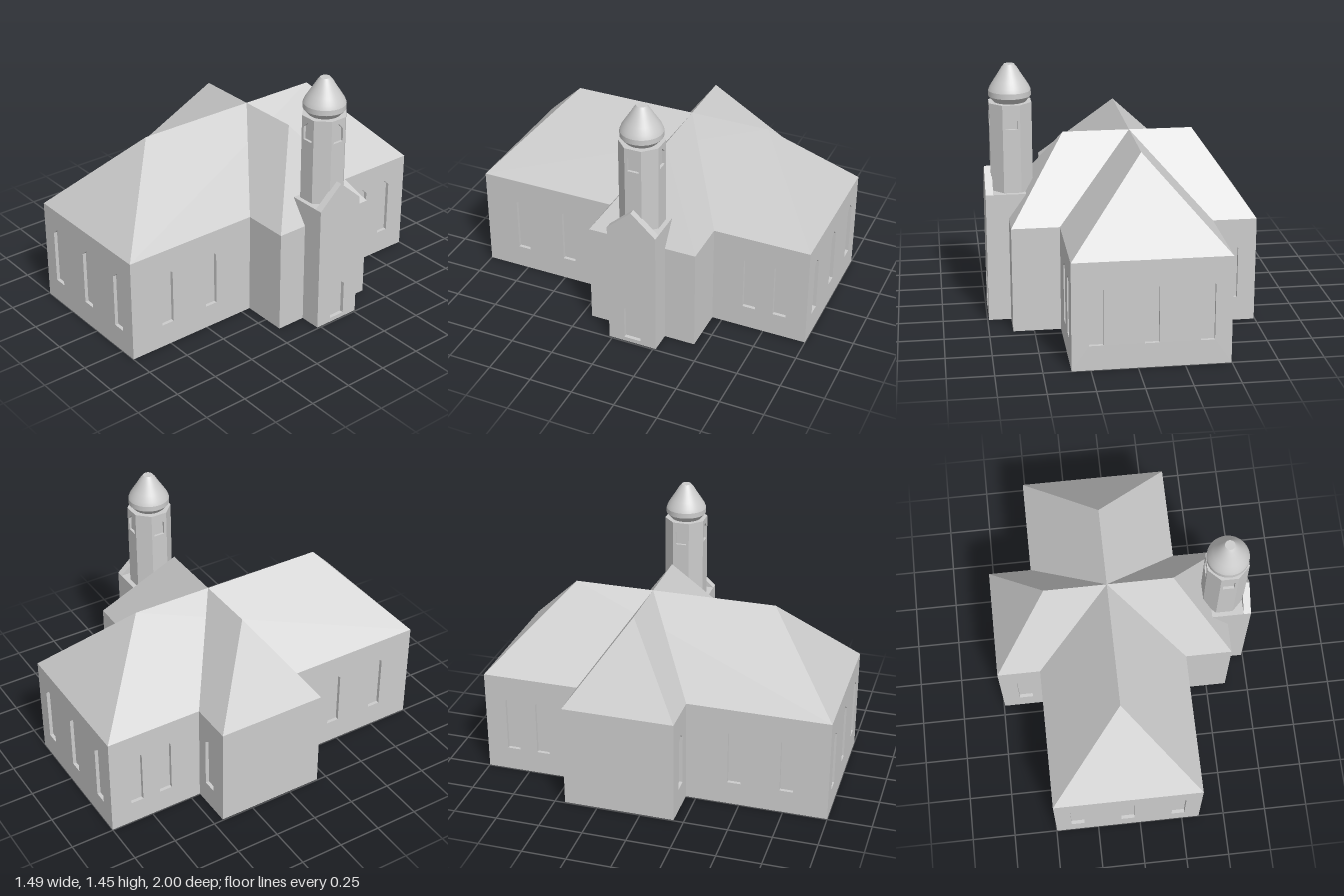
import * as THREE from 'three';
import { ConvexGeometry } from 'three/addons/geometries/ConvexGeometry.js';

const stone = new THREE.MeshStandardMaterial({ color: 0xcccccc });
stone.name = 'stone';

const EAVE = 0.6, RIDGE = 1.05, RECESS = 0.02;
const CX = -0.073, CZ = -0.125; // where the two ridges cross

export function createModel() {
  const model = new THREE.Group();

  function add(parent, name, geometry, x = 0, y = 0, z = 0, turn = 0) {
    const mesh = new THREE.Mesh(geometry, stone);
    mesh.name = name;
    mesh.position.set(x, y, z);
    mesh.rotation.y = turn;
    parent.add(mesh);
    return mesh;
  }

  function group(name) {
    const g = new THREE.Group();
    g.name = name;
    model.add(g);
    return g;
  }

  function box(parent, name, x0, x1, y0, y1, z0, z1) {
    add(parent, name, new THREE.BoxGeometry(x1 - x0, y1 - y0, z1 - z0),
      (x0 + x1) / 2, (y0 + y1) / 2, (z0 + z1) / 2);
  }

  // House-shaped outline, used for openings and for the porch gable
  function pointed(Type, u, width, bottom, shoulder, peak) {
    const w = width / 2;
    return new Type([[u - w, bottom], [u + w, bottom], [u + w, shoulder], [u, peak], [u - w, shoulder]]
      .map(([a, b]) => new THREE.Vector2(a, b)));
  }

  // Panel with its outer face at local z = 0, pierced by openings
  function panel(shape, openings, depth = RECESS) {
    shape.holes.push(...openings);
    const g = new THREE.ExtrudeGeometry(shape, { depth, bevelEnabled: false });
    return g.translate(0, 0, -depth);
  }

  function rectangle(width, y0, y1) {
    const w = width / 2;
    return new THREE.Shape([[-w, y0], [w, y0], [w, y1], [-w, y1]].map(([a, b]) => new THREE.Vector2(a, b)));
  }

  const tallWindow = (u) => pointed(THREE.Path, u, 0.076, 0.137, 0.448, 0.482);
  const wingWindow = (u) => pointed(THREE.Path, u, 0.08, 0.137, 0.43, 0.462);

  // Four walls around a solid core; window positions are in world coordinates
  function hall(name, x0, x1, z0, z1, makeWindow, endWindows, sideWindows) {
    const g = group(name);
    const xc = (x0 + x1) / 2, zc = (z0 + z1) / 2;
    const r = RECESS;
    box(g, name + 'Core', x0 + r, x1 - r, 0, EAVE, z0 + r, z1 - r);
    for (const s of [1, -1]) {
      add(g, s > 0 ? 'frontWall' : 'backWall',
        panel(rectangle(x1 - x0, 0, EAVE), endWindows.map((x) => makeWindow(s * (x - xc)))),
        xc, 0, s > 0 ? z1 : z0, s > 0 ? 0 : Math.PI);
      add(g, s > 0 ? 'leftWall' : 'rightWall',
        panel(rectangle(z1 - z0 - 2 * r, 0, EAVE), sideWindows.map((z) => makeWindow(-s * (z - zc)))),
        s > 0 ? x1 : x0, 0, zc, s * Math.PI / 2);
    }
    return g;
  }

  function hipRoof(parent, name, x0, x1, z0, z1, ridgeA, ridgeB) {
    const corners = [[x0, z0], [x1, z0], [x1, z1], [x0, z1]].map(([x, z]) => new THREE.Vector3(x, EAVE, z));
    const ridge = [ridgeA, ridgeB].map(([x, z]) => new THREE.Vector3(x, RIDGE, z));
    add(parent, name, new ConvexGeometry([...corners, ...ridge]));
  }

  // Nave
  const nave = hall('nave', -0.497, 0.351, -1, 1, tallWindow, [-0.368, CX, 0.222], [0.765, 0.468, -0.66, -0.84]);
  hipRoof(nave, 'naveRoof', -0.497, 0.351, -1, 1, [CX, -0.58], [CX, 0.58]);

  // Transept
  const transept = hall('transept', -0.744, 0.617, -0.442, 0.192, wingWindow, [-0.604], []);
  hipRoof(transept, 'transeptRoof', -0.744, 0.617, -0.442, 0.192, [-0.427, CZ], [0.3, CZ]);

  // Tower porch with gabled door wall
  const TX = 0.59, TZ = -0.122;
  const porch = group('towerPorch');
  box(porch, 'porchBody', 0.5, 0.7, 0, 0.74, TZ - 0.142, TZ + 0.142);
  const gable = () => pointed(THREE.Shape, 0, 0.284, 0, 0.74, 0.868);
  add(porch, 'gableBacking', panel(gable(), []), 0.72, 0, TZ, Math.PI / 2);
  add(porch, 'doorWall', panel(gable(), [pointed(THREE.Path, 0, 0.098, 0.025, 0.222, 0.262)]),
    0.742, 0, TZ, Math.PI / 2).scale.z = 1.1;

  // Octagonal tower, windows on every second side
  const tower = group('tower');
  const APOTHEM = 0.116, SKIN = 0.015, BASE = 0.6, TOP = 1.238;
  const side = 2 * APOTHEM * Math.tan(Math.PI / 8);
  const core = new THREE.CylinderGeometry(1, 1, TOP - BASE, 8).toNonIndexed();
  const coreRadius = (APOTHEM - SKIN) / Math.cos(Math.PI / 8);
  core.scale(coreRadius, 1, coreRadius).rotateY(Math.PI / 8);
  core.computeVertexNormals();
  add(tower, 'towerCore', core, TX, (BASE + TOP) / 2, TZ);
  for (let i = 0; i < 8; i++) {
    const a = i * Math.PI / 4;
    const openings = i % 2 ? [] : [pointed(THREE.Path, 0, 0.064, 1.102, 1.178, 1.21)];
    add(tower, 'towerSide', panel(rectangle(side, BASE, TOP), openings, SKIN),
      TX + APOTHEM * Math.sin(a), 0, TZ + APOTHEM * Math.cos(a), a);
  }

  // Tower cap: flared collar, rounded cone and flat tip
  const lathe = (pts) => new THREE.LatheGeometry(pts.map(([r, y]) => new THREE.Vector2(r, y)), 40);
  add(tower, 'capCollar', lathe([[0.088, 1.236], [0.117, 1.27]]), TX, 0, TZ);
  add(tower, 'capRim', lathe([[0.117, 1.27], [0.117, 1.3]]), TX, 0, TZ);
  add(tower, 'capCone', lathe([[0.117, 1.3], [0.108, 1.323], [0.088, 1.355], [0.062, 1.395], [0.042, 1.428], [0.028, 1.445]]), TX, 0, TZ);
  add(tower, 'capTip', lathe([[0.028, 1.445], [0, 1.445]]), TX, 0, TZ);

  return model;
}
